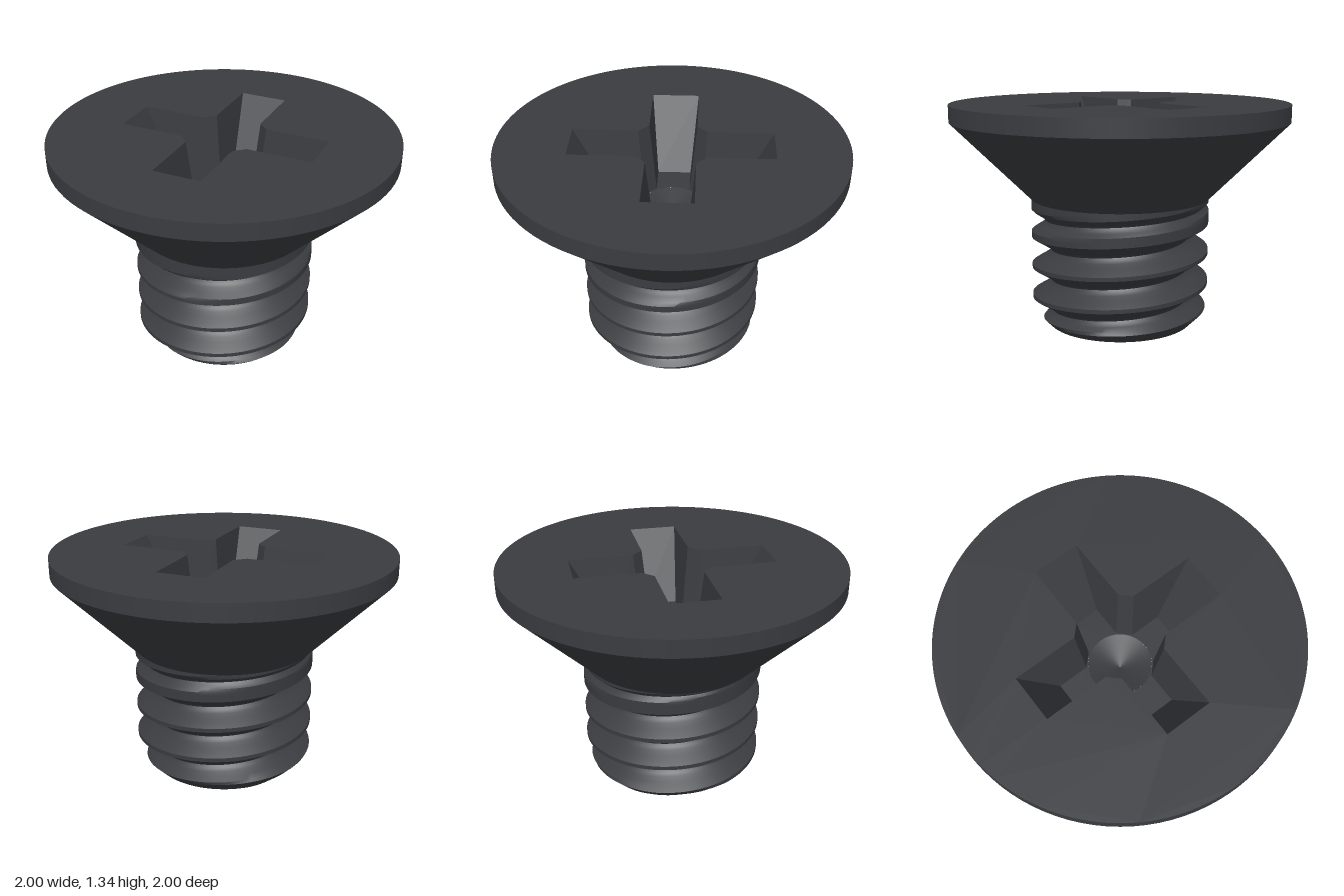
import * as THREE from 'three';
import { toCreasedNormals } from 'three/addons/utils/BufferGeometryUtils.js';

const SEG = 96;
const PITCH = 0.187, CREST = 0.535, ROOT = 0.42;
const NECK = 0.77, RIM = 1.235, TOP = 1.335; // heights of the head
const FLOOR = 0.92, PIT = 0.185;             // driver recess

const crestY = (phi) => 0.515 + PITCH * phi / (2 * Math.PI);

// Thread radius at an angle and height: V groove with round root,
// fading out below the head, chamfered at the tip
function threadRadius(phi, y) {
  const t = (y - crestY(phi)) / PITCH;
  const f = t - Math.floor(t) - 0.5;
  const grooveY = y - f * PITCH;
  const lift = Math.max(0, 0.115 - 0.62 * (NECK - grooveY));
  const r = ROOT - 0.026 + Math.hypot(1.732 * f * PITCH, 0.026) + lift;
  return Math.min(r, CREST, 0.44 + y);
}

function geometryFrom(positions) {
  const g = new THREE.BufferGeometry();
  g.setAttribute('position', new THREE.Float32BufferAttribute(positions, 3));
  return g;
}

// Grid whose rows follow the helix, cut off at the tip and the neck
function threadGeometry() {
  const fractions = [0.064, 0.15, 0.25, 0.35, 0.42, 0.5, 0.58, 0.65, 0.75, 0.85, 0.936];
  const rows = [];
  for (let k = -4; k <= 1; k++) for (const f of fractions) rows.push(k + f);
  const point = (i, row) => {
    const phi = (i / SEG) * 2 * Math.PI;
    const y = THREE.MathUtils.clamp(crestY(phi) + row * PITCH, 0, NECK);
    const r = threadRadius(phi, y);
    return new THREE.Vector3(r * Math.sin(phi), y, r * Math.cos(phi));
  };
  const pos = [];
  const tri = (a, b, c) => {
    if (new THREE.Triangle(a, b, c).getArea() < 1e-8) return;
    for (const p of [a, b, c]) pos.push(p.x, p.y, p.z);
  };
  for (let i = 0; i < SEG; i++) {
    for (let j = 0; j < rows.length - 1; j++) {
      const a = point(i, rows[j]), b = point(i + 1, rows[j]);
      const c = point(i + 1, rows[j + 1]), d = point(i, rows[j + 1]);
      tri(a, b, c);
      tri(a, c, d);
    }
  }
  return toCreasedNormals(geometryFrom(pos), 0.5);
}

// Cross outline with bevelled inner corners, counterclockwise
function crossOutline(reach, half, corner) {
  const pts = [];
  for (let q = 0; q < 4; q++) {
    const arm = [[reach, -half], [reach, half], [corner, half], [half, corner]];
    for (const [x, y] of arm) {
      pts.push(new THREE.Vector2(x, y).rotateAround(new THREE.Vector2(), q * Math.PI / 2));
    }
  }
  return pts;
}

// Straight walls between the upper and lower cross outline
function recessWalls(upper, lower) {
  const pos = [];
  upper.forEach((a, i) => {
    const n = (i + 1) % upper.length;
    const b = upper[n], A = lower[i], B = lower[n];
    const at = (p, y) => pos.push(p.x, y, -p.y);
    at(a, TOP); at(b, TOP); at(B, FLOOR);
    at(a, TOP); at(B, FLOOR); at(A, FLOOR);
  });
  const g = geometryFrom(pos);
  g.computeVertexNormals();
  return g;
}

export function createModel() {
  const group = new THREE.Group();
  const steel = new THREE.MeshStandardMaterial({ color: 0x3a3c40 });
  const steelDouble = new THREE.MeshStandardMaterial({ color: 0x3a3c40, side: THREE.DoubleSide });
  const add = (name, geometry, material = steel) => {
    const mesh = new THREE.Mesh(geometry, material);
    mesh.name = name;
    group.add(mesh);
    return mesh;
  };

  // Threaded shank and its flat tip
  add('threadedShank', threadGeometry());
  const tip = [];
  for (let i = 0; i < SEG; i++) {
    const phi = (i / SEG) * 2 * Math.PI, r = threadRadius(phi, 0);
    tip.push(new THREE.Vector2(r * Math.sin(phi), r * Math.cos(phi)));
  }
  add('shankTip', new THREE.ShapeGeometry(new THREE.Shape(tip)).rotateX(Math.PI / 2));

  // Countersunk head: cone, rim and top face
  add('headCone', new THREE.CylinderGeometry(1, CREST, RIM - NECK, SEG, 1, true))
    .position.y = (RIM + NECK) / 2;
  add('headRim', new THREE.CylinderGeometry(1, 1, TOP - RIM, SEG, 1, true))
    .position.y = (TOP + RIM) / 2;
  const upper = crossOutline(0.58, 0.14, 0.2);
  const lower = crossOutline(0.355, 0.1, 0.168);
  const face = new THREE.Shape().absarc(0, 0, 1, 0, 2 * Math.PI);
  face.holes.push(new THREE.Path(upper));
  add('headTop', new THREE.ShapeGeometry(face, SEG).rotateX(-Math.PI / 2)).position.y = TOP;

  // Cross recess with a conical pit in its floor
  add('recessWalls', recessWalls(upper, lower));
  const floor = new THREE.Shape(lower);
  floor.holes.push(new THREE.Path().absarc(0, 0, PIT, 0, 2 * Math.PI));
  add('recessFloor', new THREE.ShapeGeometry(floor, 48).rotateX(-Math.PI / 2)).position.y = FLOOR;
  const pit = [new THREE.Vector2(PIT, FLOOR), new THREE.Vector2(0, FLOOR - 0.06)];
  add('recessPit', new THREE.LatheGeometry(pit, 48), steelDouble);

  return group;
}
